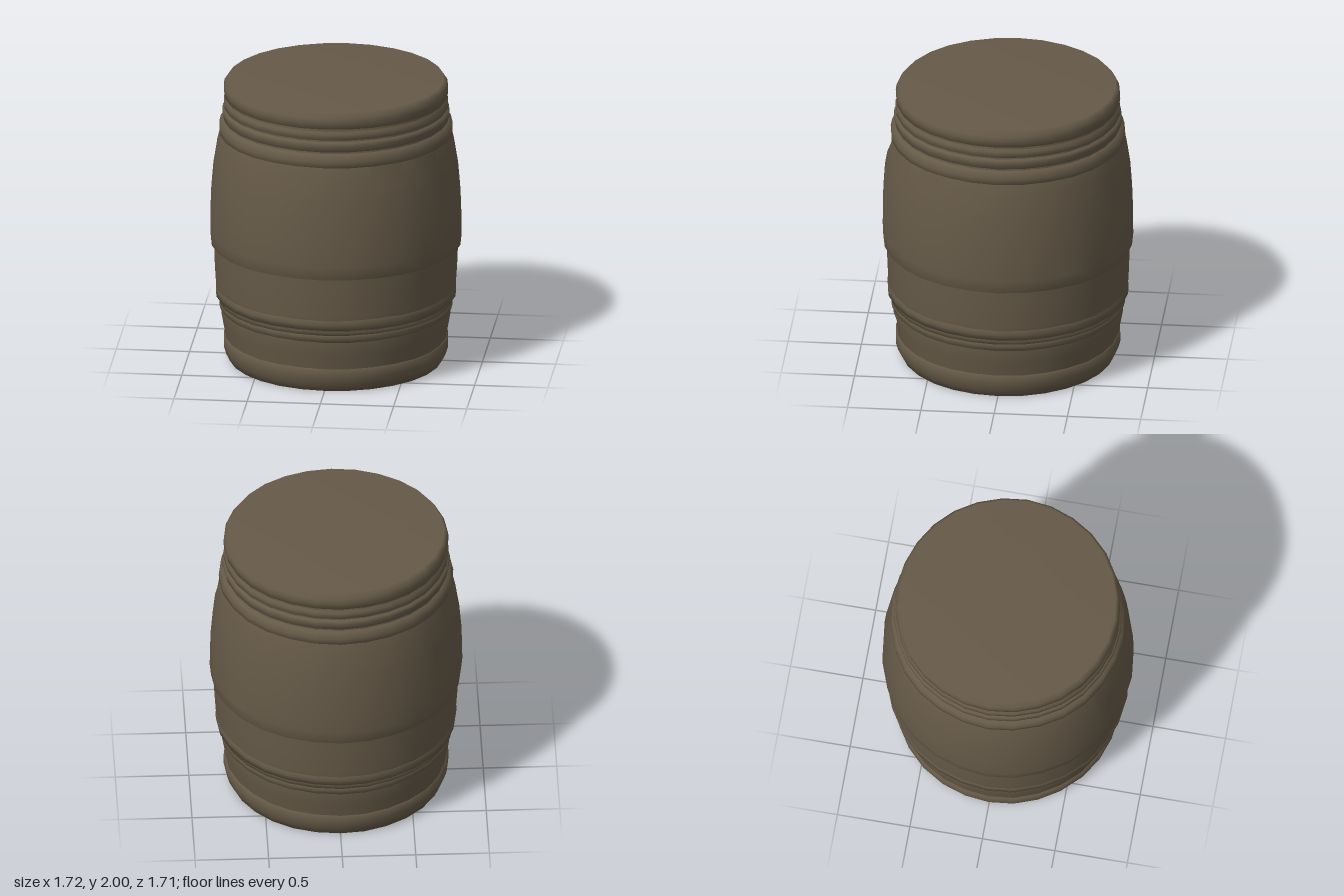
import * as THREE from 'three';

const SIDES = 28;

export function createModel() {
  const barrel = new THREE.Group();
  barrel.name = 'barrel';
  const wood = new THREE.MeshStandardMaterial({ color: 0x665a48 });
  wood.name = 'weatheredWood';

  // Worn hollows: angle from the front towards +x, height, angular width, height spread, depth
  const hollows = [
    [-0.12, 1.55, 0.22, 0.06, 0.03],
    [0.55, 1.52, 0.18, 0.06, 0.02],
    [1.2, 1.5, 0.2, 0.07, 0.02],
    [2.2, 1.53, 0.25, 0.06, 0.02],
    [-0.4, 0.68, 0.2, 0.1, 0.025],
    [0.35, 0.66, 0.2, 0.1, 0.025],
    [1.1, 0.65, 0.22, 0.1, 0.025],
    [2.0, 0.66, 0.2, 0.1, 0.02],
    [-0.5, 0.33, 0.25, 0.04, 0.015],
    [0.2, 0.25, 0.25, 0.05, 0.015],
  ];

  // Uneven, hand-worn surface: gentle ripple plus local hollows
  function wear(geometry, ripple) {
    const p = geometry.attributes.position;
    for (let i = 0; i < p.count; i++) {
      const x = p.getX(i), y = p.getY(i), z = p.getZ(i);
      const r = Math.hypot(x, z);
      if (r < 0.1) continue;
      const a = Math.atan2(x, z);
      let d = ripple * Math.sin(5 * a + y * 3) * Math.cos(3 * a - y * 2);
      for (const [ha, hy, wa, wy, depth] of hollows) {
        const da = Math.atan2(Math.sin(a - ha), Math.cos(a - ha)) / wa;
        d -= depth * Math.exp(-da * da - ((y - hy) / wy) ** 2);
      }
      p.setX(i, x * (r + d) / r);
      p.setZ(i, z * (r + d) / r);
    }
    return geometry;
  }

  // Turned part: profile of [radius, height] from bottom to top
  function turned(name, profile, ripple = 0.004) {
    const points = profile.map(([r, y]) => new THREE.Vector2(r, y));
    const mesh = new THREE.Mesh(wear(new THREE.LatheGeometry(points, SIDES), ripple), wood);
    mesh.name = name;
    barrel.add(mesh);
  }

  // Ends with rounded rims
  turned('bottomRim', [
    [0, 0], [0.725, 0], [0.75, 0.05], [0.765, 0.1], [0.765, 0.16], [0.74, 0.168],
  ], 0.002);
  turned('topRim', [
    [0.735, 1.88], [0.758, 1.885], [0.765, 1.93], [0.76, 1.965], [0.735, 2], [0, 2],
  ], 0.002);

  // Staves between the hoops
  turned('lowerStaves', [[0.75, 0.16], [0.757, 0.2], [0.77, 0.27], [0.782, 0.34], [0.78, 0.4]]);
  turned('middleStaves', [
    [0.8, 0.45], [0.815, 0.5], [0.818, 0.56], [0.822, 0.62], [0.826, 0.7], [0.828, 0.77], [0.83, 0.84],
  ]);
  turned('upperStaves', [
    [0.825, 0.825], [0.846, 0.832], [0.855, 0.92], [0.853, 1.06], [0.849, 1.2], [0.836, 1.37],
    [0.822, 1.46], [0.81, 1.54], [0.796, 1.6], [0.785, 1.64],
  ]);
  turned('neckStaves', [[0.765, 1.7], [0.757, 1.76], [0.755, 1.82], [0.745, 1.89]]);

  // Worn hoops
  turned('lowerHoop', [[0.765, 0.35], [0.787, 0.37], [0.795, 0.4], [0.79, 0.425], [0.77, 0.43]]);
  turned('lowerHoopEdge', [[0.77, 0.415], [0.796, 0.42], [0.797, 0.455], [0.78, 0.465]]);
  turned('middleHoop', [[0.78, 0.458], [0.815, 0.462], [0.82, 0.5], [0.817, 0.53], [0.8, 0.56]]);
  turned('upperHoop', [[0.775, 1.615], [0.795, 1.62], [0.797, 1.66], [0.787, 1.705], [0.755, 1.715]]);
  turned('neckHoop', [[0.745, 1.715], [0.765, 1.725], [0.775, 1.765], [0.77, 1.79], [0.745, 1.8]]);
  turned('topHoop', [[0.74, 1.8], [0.763, 1.81], [0.764, 1.85], [0.74, 1.875]]);

  // Short splinters lifted from the staves: angle, bottom, top, radii at both ends, width
  const chips = [
    [0.55, 1.44, 1.62, 0.829, 0.8, 0.24],
    [0.97, 1.44, 1.62, 0.829, 0.8, 0.22],
    [2.18, 0.92, 1.08, 0.858, 0.855, 0.2],
  ];
  for (const [angle, y0, y1, r0, r1, width] of chips) {
    const spread = width / r0;
    const chip = new THREE.Mesh(
      new THREE.CylinderGeometry(r1, r0, y1 - y0, 4, 1, true, angle - spread / 2, spread), wood);
    chip.position.y = (y0 + y1) / 2;
    chip.name = 'staveSplinter';
    barrel.add(chip);
  }
  return barrel;
}
